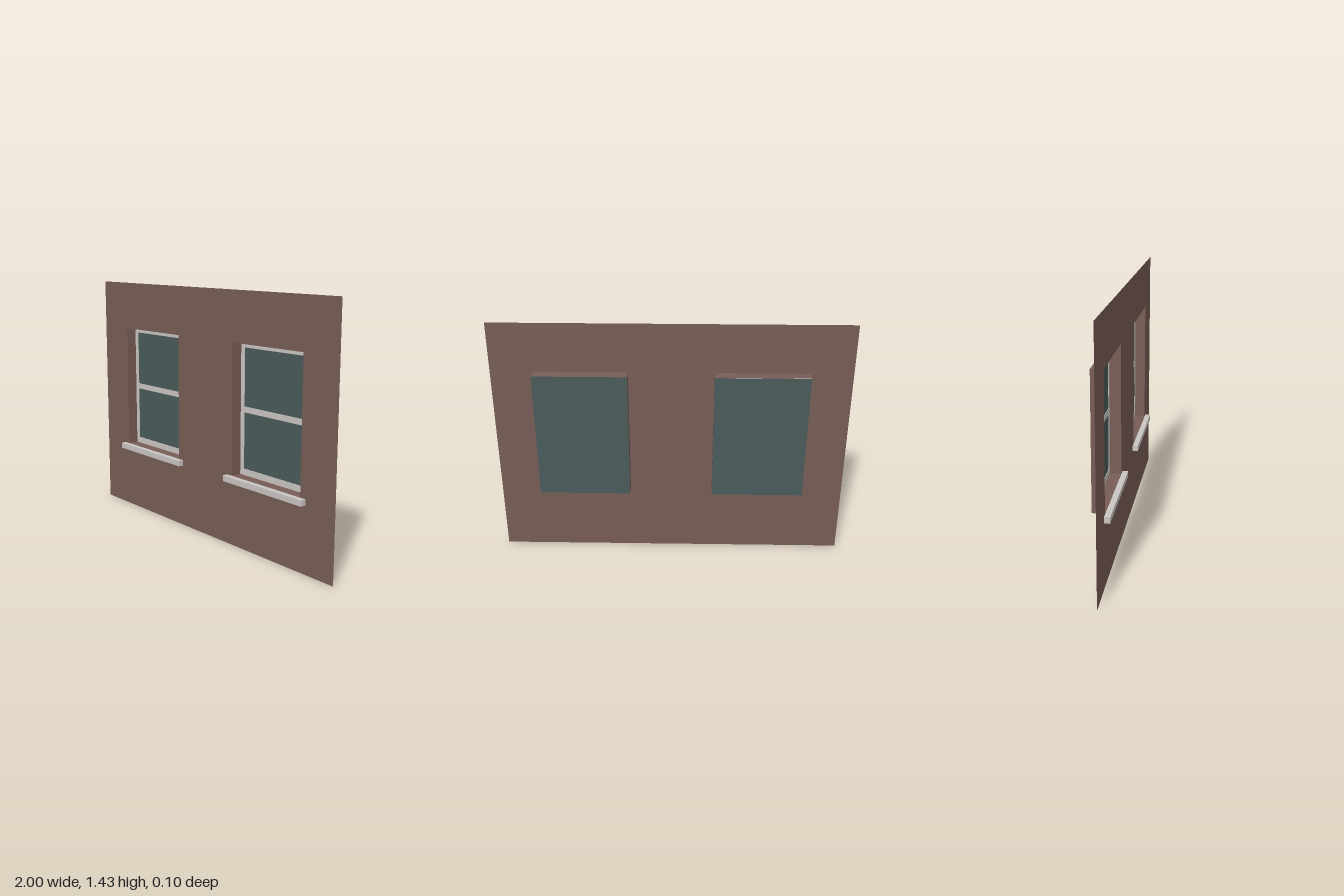
import * as THREE from 'three';

const mat = (name, color, side = THREE.FrontSide) => {
  const m = new THREE.MeshStandardMaterial({ color, side });
  m.name = name;
  return m;
};

// Main dimensions
const WALL_H = 1.43, WALL_Z = 0.017, BACK_Z = -0.05;
const OPEN = { w: 0.524, y0: 0.404, y1: 1.147, x: 0.5 };
const OPEN_H = OPEN.y1 - OPEN.y0, OPEN_Y = (OPEN.y0 + OPEN.y1) / 2;

// Rectangle outline given by its edges
function rect(Type, x0, x1, y0, y1) {
  return new Type([[x0, y0], [x1, y0], [x1, y1], [x0, y1]].map(p => new THREE.Vector2(...p)));
}

export function createModel() {
  const model = new THREE.Group();
  model.name = 'wallWithWindows';
  const brick = mat('brickBrown', 0x785d56, THREE.DoubleSide);
  const trim = mat('paleTrim', 0xcac6c2);
  const glass = mat('darkGlass', 0x4a5b5b, THREE.DoubleSide);

  const add = (parent, name, geometry, material, x = 0, y = 0, z = 0) => {
    const mesh = new THREE.Mesh(geometry, material);
    mesh.name = name;
    mesh.position.set(x, y, z);
    parent.add(mesh);
    return mesh;
  };

  // Flat wall sheet with two openings
  const wall = rect(THREE.Shape, -1, 1, 0, WALL_H);
  for (const s of [-1, 1]) {
    const c = s * OPEN.x;
    wall.holes.push(rect(THREE.Path, c - OPEN.w / 2, c + OPEN.w / 2, OPEN.y0, OPEN.y1));
  }
  add(model, 'wall', new THREE.ShapeGeometry(wall), brick, 0, 0, WALL_Z);

  for (const s of [-1, 1]) {
    const win = new THREE.Group();
    win.name = s > 0 ? 'leftWindow' : 'rightWindow';
    win.position.x = s * OPEN.x;
    model.add(win);

    // Reveal: four sheets running back from the opening
    const depth = WALL_Z - BACK_Z, midZ = (WALL_Z + BACK_Z) / 2;
    for (const e of [-1, 1]) {
      const jamb = add(win, 'revealSide', new THREE.PlaneGeometry(depth, OPEN_H), brick,
        e * OPEN.w / 2, OPEN_Y, midZ);
      jamb.rotation.y = -e * Math.PI / 2;
      const ledge = add(win, e > 0 ? 'revealTop' : 'revealBottom',
        new THREE.PlaneGeometry(OPEN.w, depth), brick, 0, OPEN_Y + e * OPEN_H / 2, midZ);
      ledge.rotation.x = e * Math.PI / 2;
    }

    // Glass closing the back of the recess
    add(win, 'glass', new THREE.PlaneGeometry(OPEN.w, OPEN_H), glass, 0, OPEN_Y, BACK_Z);

    // Thin sash frame with two panes cut out
    const frame = rect(THREE.Shape, -OPEN.w / 2, OPEN.w / 2, OPEN.y0, OPEN.y1);
    for (const [y0, y1] of [[0.44, 0.76], [0.793, 1.118]]) {
      frame.holes.push(rect(THREE.Path, -0.234, 0.234, y0, y1));
    }
    add(win, 'sashFrame', new THREE.ExtrudeGeometry(frame, { depth: 0.003, bevelEnabled: false }),
      trim, 0, 0, BACK_Z + 0.001);

    // Projecting sill
    add(win, 'sill', new THREE.BoxGeometry(0.6, 0.033, 0.032), trim, 0, 0.3875, 0.034);
  }
  return model;
}
